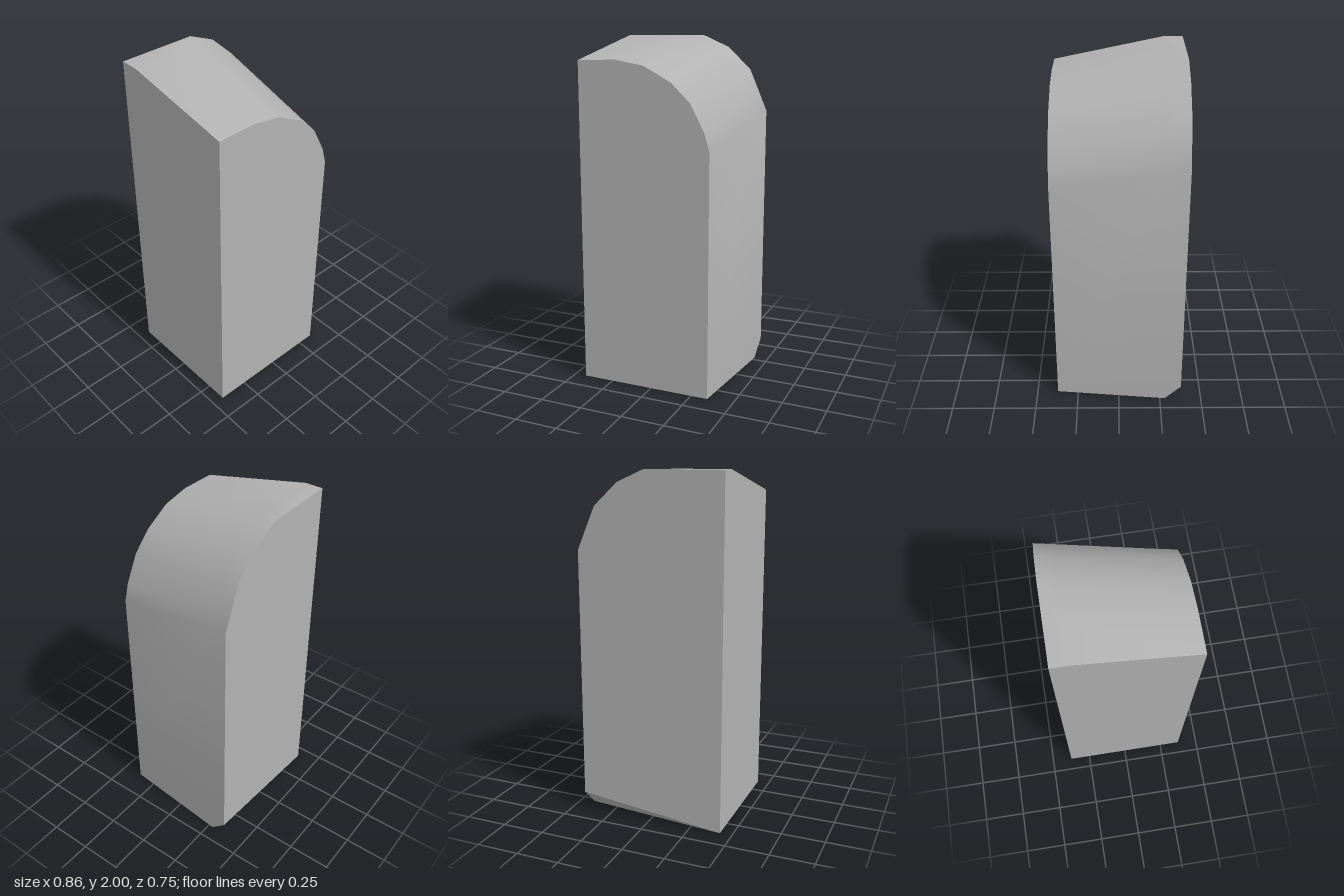
import * as THREE from 'three';
import { toCreasedNormals } from 'three/addons/utils/BufferGeometryUtils.js';

const FRONT = 0.375, BACK = -0.375, RIDGE = -0.27, LEFT = -0.43;

// Turns convex loops (counter-clockwise from outside) into one geometry.
function fromLoops(loops) {
  const pos = [];
  for (const loop of loops)
    for (let i = 1; i < loop.length - 1; i++) pos.push(...loop[0], ...loop[i], ...loop[i + 1]);
  const geometry = new THREE.BufferGeometry();
  geometry.setAttribute('position', new THREE.Float32BufferAttribute(pos, 3));
  return toCreasedNormals(geometry, 0.6);
}

export function createModel() {
  const group = new THREE.Group();
  group.name = 'roundedBlock';
  const grey = new THREE.MeshStandardMaterial({ color: 0xb2b2b2 });
  grey.name = 'grey';

  // Upper outlines of the front and back ends, from the left edge round to the right side
  const frontXY = [[LEFT, 1.865], [-0.2, 1.87], [-0.03, 1.84], [0.13, 1.755], [0.24, 1.65], [0.32, 1.5], [0.35, 1.4]];
  const backXY = [[LEFT, 2], [-0.2, 2], [0.02, 2], [0.18, 1.93], [0.32, 1.8], [0.373, 1.68], [0.427, 1.555]];
  const front = frontXY.map(([x, y]) => [x, y, FRONT]);
  const back = backXY.map(([x, y]) => [x, y, BACK]);

  // Ridge where the sloping top meets the small level strip at the back
  const t = (FRONT - RIDGE) / (FRONT - BACK);
  const ridge = frontXY.map(([x, y], i) => [
    THREE.MathUtils.lerp(x, backXY[i][0], t),
    i < 2 ? 2 : THREE.MathUtils.lerp(y, backXY[i][1], t),
    RIDGE,
  ]);
  const last = front.length - 1;

  // Bottom corners, with the back right one cut off
  const frontLeft = [LEFT, 0, FRONT], frontRight = [0.35, 0, FRONT], backLeft = [LEFT, 0, BACK];
  const cutLow = [0.417, 0, -0.28], cutHigh = [0.427, 0.1, BACK];

  const loops = [
    [frontLeft, frontRight, ...[...front].reverse()],                          // front
    [backLeft, ...back, cutHigh],                                              // back
    [backLeft, frontLeft, front[0], ridge[0], back[0]],                        // left side
    [frontRight, cutLow, cutHigh, back[last], ridge[last], front[last]],       // right side
    [frontLeft, backLeft, cutLow, frontRight],                                 // bottom
    [backLeft, cutHigh, cutLow],                                               // cut corner
  ];

  // Curved top, lofted from front to ridge to back
  for (const [a, b] of [[front, ridge], [ridge, back]])
    for (let i = 0; i < last; i++) loops.push([a[i], a[i + 1], b[i + 1], b[i]]);

  const block = new THREE.Mesh(fromLoops(loops), grey);
  block.name = 'block';
  group.add(block);
  return group;
}
